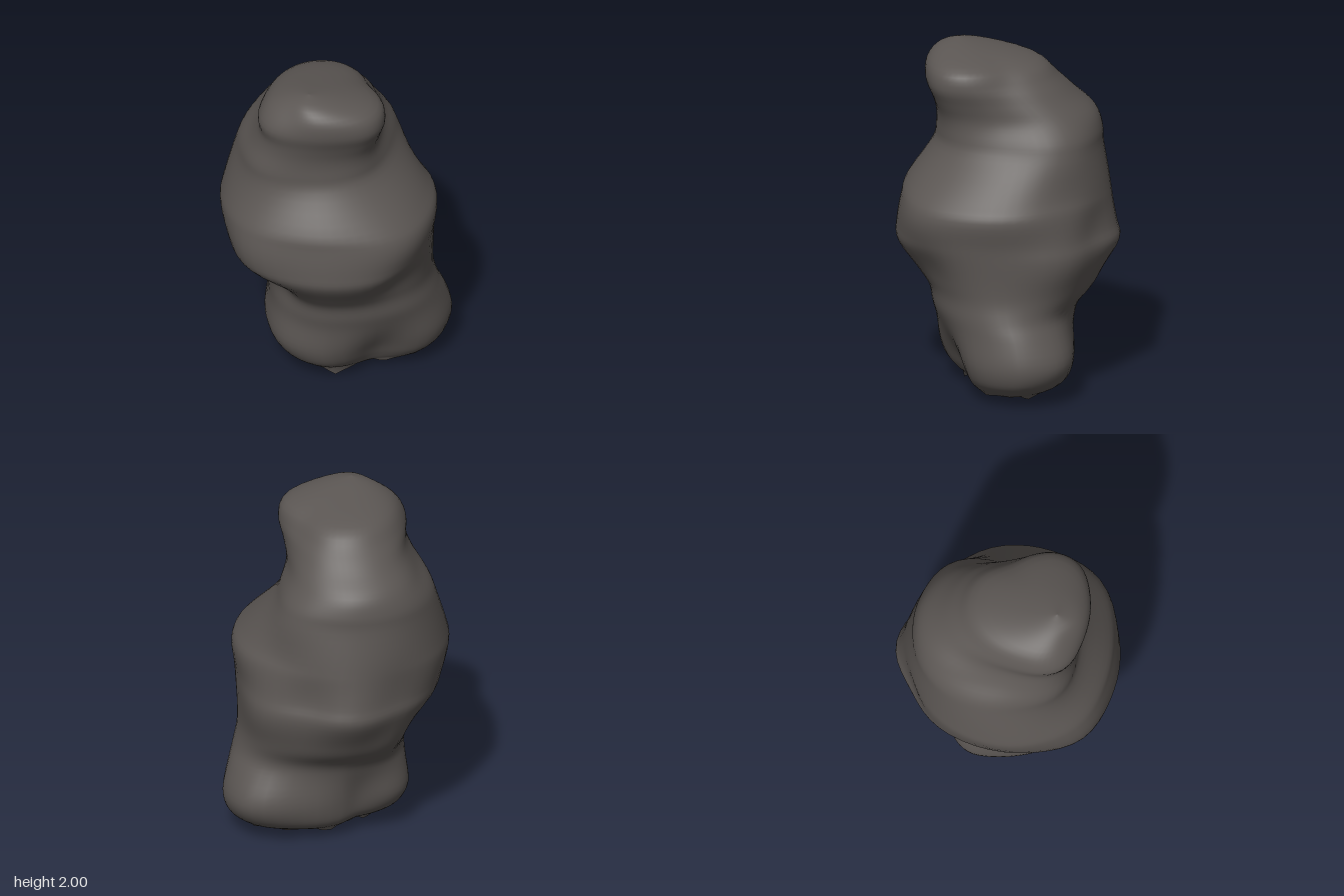
import * as THREE from 'three';

// Horizontal slices, bottom to top: y, xMin, xMax, zMin, zMax, and the x, z of the widest points
const SLICES = [
  [0.05, -0.25, 0.52, -0.29, 0.27, 0.05, -0.06],
  [0.09, -0.31, 0.58, -0.35, 0.33, 0.03, -0.08],
  [0.15, -0.37, 0.63, -0.385, 0.38, 0.01, -0.1],
  [0.25, -0.41, 0.65, -0.4, 0.41, 0, -0.1],
  [0.4, -0.395, 0.62, -0.39, 0.42, 0.01, -0.07],
  [0.5, -0.39, 0.59, -0.41, 0.44, 0.01, -0.02],
  [0.6, -0.41, 0.565, -0.49, 0.46, 0.01, 0.01],
  [0.7, -0.46, 0.56, -0.55, 0.53, 0, 0.03],
  [0.85, -0.58, 0.565, -0.645, 0.64, -0.01, 0.05],
  [0.95, -0.62, 0.57, -0.635, 0.645, -0.02, 0.06],
  [1.1, -0.655, 0.585, -0.6, 0.62, -0.03, 0.05],
  [1.2, -0.64, 0.52, -0.575, 0.59, -0.05, 0.03],
  [1.4, -0.58, 0.36, -0.53, 0.45, -0.08, -0.03],
  [1.5, -0.54, 0.31, -0.52, 0.425, -0.08, -0.02],
  [1.6, -0.46, 0.275, -0.48, 0.425, -0.08, 0.03],
  [1.7, -0.41, 0.285, -0.37, 0.45, -0.07, 0.09],
  [1.8, -0.41, 0.3, -0.27, 0.485, -0.06, 0.16],
  [1.9, -0.36, 0.26, -0.16, 0.48, -0.07, 0.2],
  [1.97, -0.25, 0.05, 0.14, 0.42, -0.12, 0.28],
  [2.0, -0.13, -0.13, 0.31, 0.31, -0.13, 0.31],
];

// Local bulges (+) and hollows (-): x, y, z, reach, push
const BUMPS = [
  [-0.46, 0.97, 0.5, 0.22, 0.05],    // chest corners
  [0.4, 1.05, 0.46, 0.24, 0.045],
  [-0.36, 0.68, 0.38, 0.16, -0.06],  // undercut below the chest
  [0.42, 0.78, 0.44, 0.17, -0.04],
  [-0.36, 1.52, 0.3, 0.2, 0.06],     // filled neck corners
  [0.22, 1.62, 0.32, 0.15, 0.03],
  [-0.28, 0.95, -0.52, 0.2, -0.05],  // flats either side of the back ridge
  [0.22, 0.95, -0.56, 0.2, -0.06],
  [-0.3, 0.64, -0.4, 0.16, 0.04],    // low back
  [0.48, 0.78, -0.34, 0.2, 0.035],   // side corner
  [0.42, 1.18, -0.38, 0.2, -0.035],  // side hollow
  [0.29, 1.47, -0.34, 0.22, 0.065],  // shoulders
  [-0.3, 1.62, -0.3, 0.2, 0.04],
  [-0.34, 1.78, 0.36, 0.16, 0.04],   // head corners
  [0.22, 1.8, 0.36, 0.15, 0.03],
  [-0.25, 1.93, 0.38, 0.12, -0.03],
  [0.2, 1.88, -0.02, 0.17, -0.06],   // dip behind the head
  [0.45, 0.25, -0.32, 0.2, 0.09],    // rear foot
  [-0.28, 0.25, 0.3, 0.18, 0.025],   // front foot
  [0.3, 0.15, 0.32, 0.2, -0.12],     // hollows between the feet
  [-0.12, 0.24, -0.38, 0.17, -0.08],
  [-0.16, 0.06, -0.24, 0.18, -0.08],
];

function boulderGeometry(around, up) {
  const columns = SLICES[0].map((_, k) =>
    new THREE.SplineCurve(SLICES.map((s, i) => new THREE.Vector2(s[k], i))));
  const positions = [], indices = [];
  const spike = Math.round(around * 0.26);
  for (let i = 0; i <= up; i++) {
    const [y, x0, x1, z0, z1, cx, cz] = columns.map(c => c.getPoint(i / up).x);
    for (let j = 0; j < around; j++) {
      const t = j / around * Math.PI * 2, c = Math.cos(t), s = Math.sin(t);
      const p = new THREE.Vector3(
        cx + c * (c > 0 ? x1 - cx : cx - x0), y,
        cz + s * (s > 0 ? z1 - cz : cz - z0));
      // Push along the slice direction near each bump
      let push = 0;
      for (const [bx, by, bz, reach, amount] of BUMPS) {
        const d2 = (p.x - bx) ** 2 + (p.y - by) ** 2 + (p.z - bz) ** 2;
        push += amount * Math.exp(-d2 / (reach * reach));
      }
      if (i < up) { p.x += c * push; p.z += s * push; }
      // Ragged lower rim with one broad spike in front
      if (i === 0) {
        p.y += 0.012 * Math.sin(j * 1.3) + 0.006 * Math.sin(j * 0.7);
        const d = Math.abs(j - spike);
        if (d < 3) p.y = 0.018 * d;
      }
      positions.push(p.x, p.y, p.z);
      if (i < up) {
        const a = i * around + j, b = i * around + (j + 1) % around;
        indices.push(a, a + around, b, b, a + around, b + around);
      }
    }
  }
  const geometry = new THREE.BufferGeometry();
  geometry.setAttribute('position', new THREE.Float32BufferAttribute(positions, 3));
  geometry.setIndex(indices);
  geometry.computeVertexNormals();
  return geometry;
}

export function createModel() {
  const stone = new THREE.MeshStandardMaterial({ color: 0x5b5653, side: THREE.DoubleSide });
  stone.name = 'dark stone';

  const boulder = new THREE.Mesh(boulderGeometry(56, 76), stone);
  boulder.name = 'boulder';

  const group = new THREE.Group();
  group.name = 'standing rock';
  group.add(boulder);
  return group;
}
